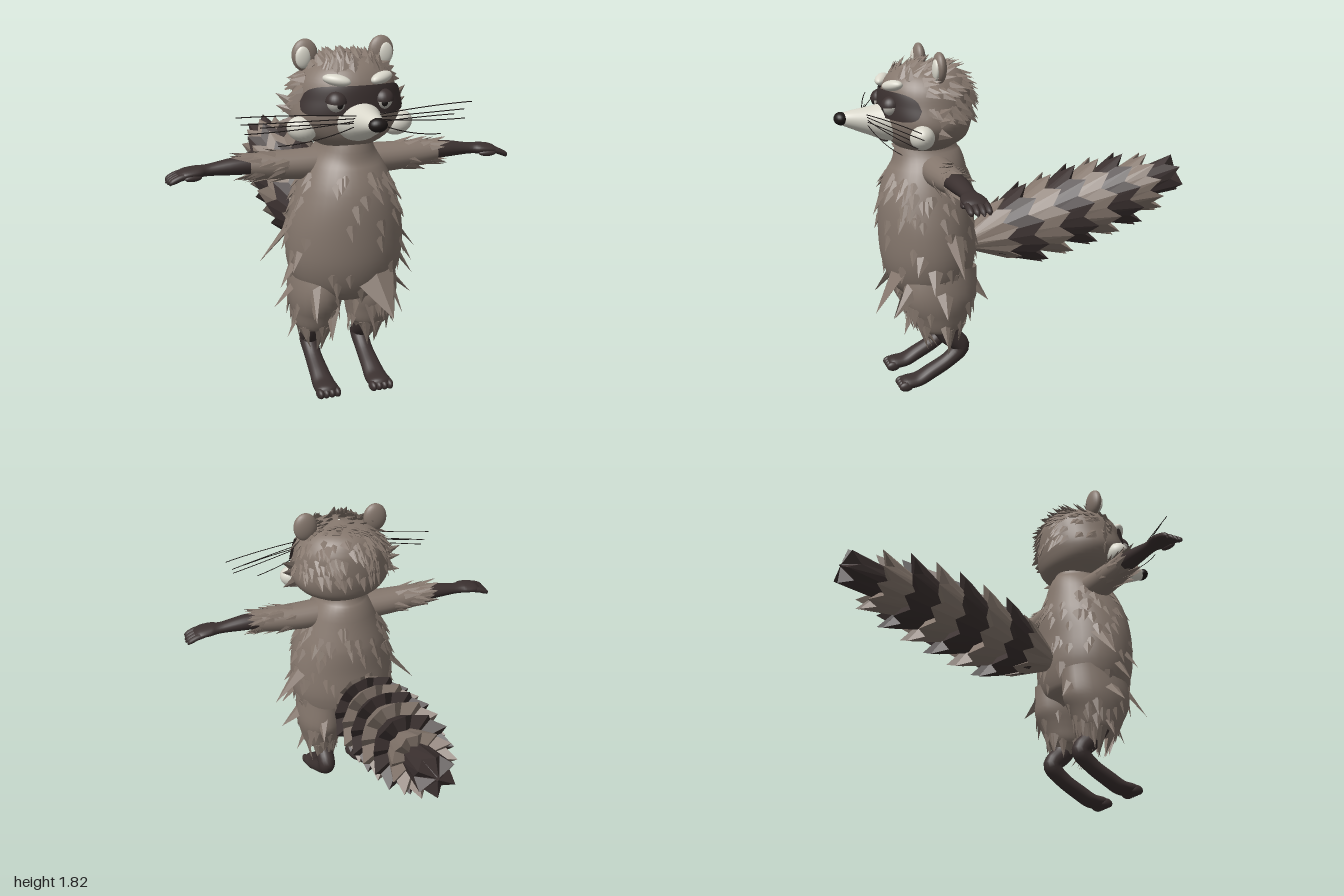
import * as THREE from 'three';
import { mergeGeometries } from 'three/addons/utils/BufferGeometryUtils.js';
import { ParametricGeometry } from 'three/addons/geometries/ParametricGeometry.js';

const V = (x, y, z) => new THREE.Vector3(x, y, z);
const TAU = Math.PI * 2;
const paint = (name, color) => {
  const m = new THREE.MeshStandardMaterial({ color, side: THREE.DoubleSide });
  m.name = name;
  return m;
};

// Seeded random numbers
let seed = 7;
const rand = (a = 0, b = 1) => {
  seed = (seed * 16807) % 2147483647;
  return a + (b - a) * seed / 2147483647;
};

// Smooth rounded form through keys [x, y, z, radius along ref, other radius]
function form(keys, ref = V(1, 0, 0)) {
  const path = new THREE.CatmullRomCurve3(keys.map(k => V(k[0], k[1], k[2])), false, 'catmullrom', 0.5);
  const radii = new THREE.CatmullRomCurve3(keys.map(k => V(k[3], k[4], 0)), false, 'catmullrom', 0.5);
  const at = (t, a, grow = 0) => {
    const tan = path.getTangent(t), r = radii.getPoint(t);
    const u = ref.clone().addScaledVector(tan, -ref.dot(tan)).normalize();
    const v = tan.clone().cross(u);
    return path.getPoint(t)
      .addScaledVector(u, (Math.max(r.x, 0.002) + grow) * Math.cos(a))
      .addScaledVector(v, (Math.max(r.y, 0.002) + grow) * Math.sin(a));
  };
  const normal = (t, a) => {
    const p = at(t, a);
    return at(t, a + 0.02).sub(p).cross(at(Math.min(t + 0.01, 1), a).sub(p)).normalize();
  };
  const tAtY = y => {
    let lo = 0, hi = 1;
    for (let i = 0; i < 24; i++) {
      const m = (lo + hi) / 2;
      if (path.getPoint(m).y < y) lo = m; else hi = m;
    }
    return lo;
  };
  const geometry = (cols = 28, rows = 32) =>
    new ParametricGeometry((u, v, out) => out.copy(at(v, u * TAU)), cols, rows);
  return { at, normal, tAtY, geometry };
}

// Flat-faced pointed tuft of fur
function tuft(base, tip, out, width, depth = 0.35) {
  const dir = tip.clone().sub(base), len = dir.length();
  dir.normalize();
  const z = out.clone().addScaledVector(dir, -out.dot(dir)).normalize();
  const x = dir.clone().cross(z);
  const g = new THREE.ConeGeometry(1, 1, 4).toNonIndexed();
  g.translate(0, 0.5, 0);
  g.applyMatrix4(new THREE.Matrix4().makeBasis(
    x.multiplyScalar(width), dir.multiplyScalar(len), z.multiplyScalar(width * depth)).setPosition(base));
  g.computeVertexNormals();
  return g;
}

// Tufts scattered over a form, leaning along a flow direction
function scatter(f, n, [t0, t1], [a0, a1], flow, lift, [l0, l1], width) {
  const list = [];
  for (let i = 0; i < n; i++) {
    const t = rand(t0, t1), a = rand(a0, a1), out = f.normal(t, a);
    const dir = flow.clone().addScaledVector(out, -flow.dot(out)).normalize().addScaledVector(out, lift).normalize();
    const base = f.at(t, a).addScaledVector(out, -0.008);
    list.push(tuft(base, base.clone().addScaledVector(dir, rand(l0, l1)), out, width * rand(0.8, 1.25)));
  }
  return list;
}

// Flared tail ring with a toothed edge, along local y
function tailRing(r0, r1, len, closeY, teeth = 11) {
  const g = new ParametricGeometry((u, v, out) => {
    const k = Math.round(u * teeth * 2), a = k / (teeth * 2) * TAU, row = Math.round(v * 2), tip = k % 2;
    const r = [r0, tip ? r1 : r1 * 0.86, 0.01][row];
    const y = [0, tip ? len : len - 0.07, closeY][row];
    out.set(r * Math.cos(a), y, -r * Math.sin(a));
  }, teeth * 2, 2).toNonIndexed();
  g.computeVertexNormals();
  return g;
}

export function createModel() {
  const model = new THREE.Group();
  model.name = 'raccoon';
  const fur = paint('grey brown fur', 0x85776d), dark = paint('dark fur', 0x3b3130);
  const cream = paint('cream fur', 0xd9d7cb), black = paint('black', 0x1d1817);
  const eyeWhite = paint('eye white', 0xb9b6ae);
  const add = (name, geo, mat, p = [0, 0, 0], s = [1, 1, 1], r = [0, 0, 0]) => {
    const m = new THREE.Mesh(geo, mat);
    m.name = name;
    m.position.set(...p); m.scale.set(...s); m.rotation.set(...r);
    model.add(m);
    return m;
  };
  const ball = new THREE.SphereGeometry(1, 24, 16);
  const down = V(0, -1, 0);

  // Torso
  const torso = form([[0, 0.5, 0.49, 0.1, 0.1], [0, 0.56, 0.5, 0.24, 0.2], [0, 0.7, 0.515, 0.3, 0.25],
    [0, 0.88, 0.525, 0.3, 0.257], [0, 1.05, 0.52, 0.26, 0.25], [0, 1.2, 0.51, 0.2, 0.205],
    [0, 1.3, 0.515, 0.14, 0.17], [0, 1.38, 0.51, 0.13, 0.14]]);
  add('torso', torso.geometry(36, 36), fur);
  add('torsoTufts', mergeGeometries(scatter(torso, 120, [0.17, 0.7], [0, TAU], down, 0.3, [0.06, 0.1], 0.035)), fur);

  // Head
  const head = form([[0, 1.3, 0.52, 0.13, 0.13], [0, 1.36, 0.52, 0.23, 0.2], [0, 1.44, 0.515, 0.28, 0.232],
    [0, 1.54, 0.51, 0.265, 0.24], [0, 1.64, 0.51, 0.235, 0.225], [0, 1.715, 0.51, 0.155, 0.16],
    [0, 1.75, 0.51, 0.01, 0.01]]);
  add('head', head.geometry(36, 32), fur);
  add('headTufts', mergeGeometries([
    ...scatter(head, 130, [0.42, 0.8], [-0.35, Math.PI + 0.35], V(0, -0.7, -0.7), 0.5, [0.06, 0.09], 0.03),
    ...scatter(head, 60, [0.78, 0.95], [0, TAU], V(0, 0.1, -1), 0.6, [0.06, 0.09], 0.03),
    ...scatter(head, 16, [0.74, 0.8], [Math.PI * 1.2, Math.PI * 1.8], V(0, 1, 0), 0.4, [0.05, 0.08], 0.028),
  ]), fur);

  // Face mask wrapped round the front of the head
  add('faceMask', new ParametricGeometry((u, v, out) => {
    const s = u * 2 - 1, h = 0.078 * Math.sqrt(Math.max(0, 1 - s ** 6));
    const y = 1.55 - 0.015 * s * s + (v * 2 - 1) * h;
    out.copy(head.at(head.tAtY(y), -Math.PI / 2 + s * 1.2, 0.016));
  }, 36, 10), dark);

  // Muzzle and nose
  const muzzle = form([[0, 1.445, 0.62, 0.13, 0.1], [0, 1.45, 0.72, 0.115, 0.1], [0, 1.46, 0.82, 0.08, 0.073],
    [0, 1.472, 0.92, 0.048, 0.045], [0, 1.475, 0.975, 0.025, 0.025]]);
  add('muzzle', muzzle.geometry(28, 20), cream);
  add('nose', ball, black, [0, 1.478, 0.963], [0.046, 0.034, 0.036]);

  const pieces = { sleeveTufts: [], legTufts: [], bigTufts: [] };
  for (const s of [1, -1]) {
    const side = s > 0 ? 'left' : 'right';

    // Eyes with heavy lids
    add(side + 'Eye', ball, eyeWhite, [s * 0.12, 1.545, 0.725], [0.046, 0.046, 0.046]);
    add(side + 'Pupil', ball, black, [s * 0.115, 1.54, 0.755], [0.02, 0.022, 0.02]);
    add(side + 'Eyelid', new THREE.SphereGeometry(0.053, 24, 10, 0, TAU, 0, Math.PI / 2), dark,
      [s * 0.12, 1.548, 0.725], [1, 1, 1], [0.1, 0, 0]);

    // Brows, cheeks and ears
    add(side + 'Brow', ball, cream, [s * 0.115, 1.652, 0.715], [0.07, 0.028, 0.034], [0, s * 0.5, s * 0.15]);
    add(side + 'Cheek', ball, cream, [s * 0.25, 1.4, 0.6], [0.078, 0.062, 0.062], [0, 0, s * 0.3]);
    add(side + 'Ear', ball, fur, [s * 0.2, 1.743, 0.49], [0.067, 0.08, 0.034]);
    add(side + 'InnerEar', ball, cream, [s * 0.215, 1.735, 0.513], [0.04, 0.055, 0.018]);
    for (const [y, dy] of [[1.5, 0.03], [1.42, -0.04], [1.47, 0]])
      pieces.bigTufts.push(tuft(V(s * 0.25, y, 0.52), V(s * 0.345, y + dy + 0.03, 0.47), V(0, 0, 1), 0.04));

    // Whiskers
    [[0.61, 1.5, 0.7], [0.58, 1.46, 0.68], [0.57, 1.42, 0.71], [0.5, 1.45, 0.73], [0.42, 1.36, 0.75]]
      .forEach(([x, y, z], i) => {
        const c = new THREE.QuadraticBezierCurve3(V(s * 0.06, 1.5 - i * 0.012, 0.84),
          V(s * x * 0.55, y + 0.015, (z + 0.86) / 2), V(s * x, y, z));
        add(side + 'Whisker' + (i + 1), new THREE.TubeGeometry(c, 10, 0.0025, 4), black);
      });

    // Sleeve, forearm and hand
    const ref = V(0, 0, 1);
    const sleeve = form([[s * 0.1, 1.2, 0.5, 0.09, 0.08], [s * 0.25, 1.2, 0.5, 0.085, 0.075],
      [s * 0.4, 1.205, 0.5, 0.075, 0.068], [s * 0.5, 1.21, 0.5, 0.066, 0.058]], ref);
    add(side + 'Sleeve', sleeve.geometry(20, 14), fur);
    pieces.sleeveTufts.push(
      ...scatter(sleeve, 26, [0.4, 0.9], [0, TAU], V(s, -0.3, 0), 0.3, [0.07, 0.11], 0.025),
      ...scatter(sleeve, 10, [0.88, 0.96], [0, TAU], V(s, 0, 0), 0.25, [0.08, 0.12], 0.028));
    add(side + 'Forearm', form([[s * 0.42, 1.215, 0.5, 0.055, 0.048], [s * 0.56, 1.215, 0.5, 0.05, 0.044],
      [s * 0.7, 1.207, 0.5, 0.04, 0.029], [s * 0.76, 1.205, 0.505, 0.058, 0.029], [s * 0.82, 1.2, 0.505, 0.062, 0.024],
      [s * 0.855, 1.192, 0.505, 0.045, 0.012]], ref).geometry(20, 24), dark);
    for (let i = 0; i < 4; i++) {
      const z = 0.46 + i * 0.03, end = 0.912 - Math.abs(i - 1.3) * 0.008;
      add(side + 'Finger' + (i + 1), form([[s * 0.81, 1.198, z, 0.015, 0.015], [s * 0.85, 1.19, z, 0.017, 0.016],
        [s * 0.89, 1.172, z, 0.015, 0.014], [s * end, 1.157, z, 0.004, 0.004]], ref).geometry(10, 10), dark);
    }
    add(side + 'Thumb', ball, dark, [s * 0.785, 1.185, 0.555], [0.045, 0.016, 0.016], [0, s * -0.2, 0]);

    // Thigh with a ragged hem
    const thigh = form([[s * 0.14, 0.68, 0.48, 0.13, 0.19], [s * 0.15, 0.52, 0.495, 0.138, 0.2],
      [s * 0.148, 0.41, 0.495, 0.122, 0.155], [s * 0.143, 0.33, 0.49, 0.1, 0.112], [s * 0.143, 0.318, 0.49, 0.05, 0.05]]);
    add(side + 'Thigh', thigh.geometry(24, 20), fur);
    pieces.legTufts.push(
      ...scatter(thigh, 24, [0.25, 0.7], [0, TAU], down, 0.35, [0.07, 0.11], 0.028),
      ...scatter(thigh, 13, [0.64, 0.74], [0, TAU], down, 0.25, [0.1, 0.17], 0.03));

    // Lower leg and foot
    add(side + 'LowerLeg', form([[s * 0.145, 0.37, 0.5, 0.06, 0.07], [s * 0.145, 0.28, 0.45, 0.055, 0.058],
      [s * 0.145, 0.205, 0.385, 0.05, 0.05], [s * 0.145, 0.135, 0.45, 0.045, 0.042], [s * 0.145, 0.075, 0.56, 0.052, 0.04],
      [s * 0.145, 0.042, 0.63, 0.06, 0.036], [s * 0.145, 0.036, 0.7, 0.06, 0.032], [s * 0.145, 0.032, 0.725, 0.03, 0.018]])
      .geometry(20, 36), dark);
    for (let i = 0; i < 4; i++)
      add(side + 'Toe' + (i + 1), ball, dark, [s * 0.145 + (i - 1.5) * 0.03, 0.027, 0.705], [0.02, 0.027, 0.038]);

    // Long tufts at hips, thighs and seat: base, tip, width
    [[0.26, 0.88, 0.45, 0.43, 0.68, 0.44, 0.06], [0.25, 0.58, 0.5, 0.38, 0.45, 0.52, 0.06],
      [0.27, 0.72, 0.55, 0.36, 0.58, 0.58, 0.05], [0.22, 0.44, 0.5, 0.3, 0.27, 0.5, 0.05],
      [0.26, 0.8, 0.6, 0.32, 0.68, 0.66, 0.05], [0.18, 0.6, 0.34, 0.2, 0.47, 0.24, 0.05],
      [0.2, 0.6, 0.64, 0.23, 0.44, 0.77, 0.05], [0.1, 0.46, 0.63, 0.12, 0.3, 0.69, 0.04]]
      .forEach(([x, y, z, X, Y, Z, w]) =>
        pieces.bigTufts.push(tuft(V(s * x, y, z), V(s * X, Y, Z), V(s * x, 0, z - 0.5).normalize(), w)));
  }
  pieces.bigTufts.push(tuft(V(0.09, 0.66, 0.7), V(0.15, 0.45, 0.85), V(0.1, 0, 1), 0.12));
  for (const [name, list] of Object.entries(pieces)) add(name, mergeGeometries(list), fur);

  // Tail of alternating toothed rings: edge centre y, z, start radius, edge radius, length
  [[0.805, 0.045, 0.06, 0.185, 0.24], [0.825, -0.09, 0.12, 0.24, 0.25], [0.86, -0.235, 0.13, 0.245, 0.25],
    [0.9, -0.38, 0.13, 0.245, 0.25], [0.935, -0.52, 0.13, 0.235, 0.25], [0.965, -0.665, 0.12, 0.22, 0.25],
    [0.995, -0.81, 0.11, 0.175, 0.24], [1.035, -0.965, 0.085, 0.108, 0.25]]
    .forEach(([y, z, r0, r1, len], i) => {
      const tip = i === 7;
      add('tailRing' + (i + 1), tailRing(r0, r1, len, tip ? len + 0.01 : len - 0.1, tip ? 6 : 11), i % 2 ? dark : fur,
        [0, y - len * 0.21, z + len * 0.978], [1, 1, 1], [-1.36, 0, 0]);
    });
  return model;
}
